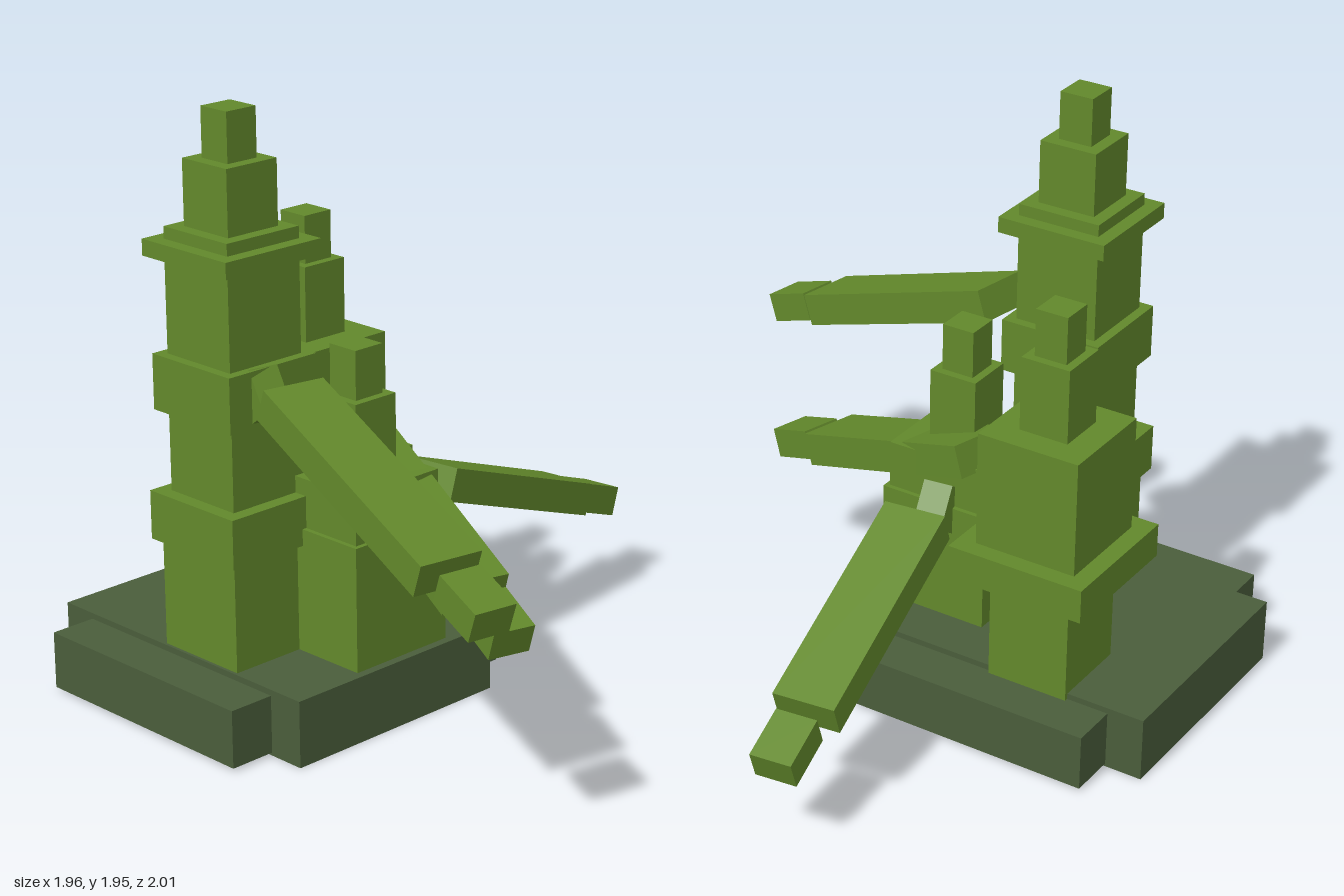
import * as THREE from 'three';

const green = new THREE.MeshStandardMaterial({ color: 0x62882b });
green.name = 'cactus green';
const mossy = new THREE.MeshStandardMaterial({ color: 0x4a5d3b });
mossy.name = 'mossy base green';

const rad = THREE.MathUtils.degToRad;

function box(name, material, w, h, d, x = 0, y = 0, z = 0) {
  const mesh = new THREE.Mesh(new THREE.BoxGeometry(w, h, d), material);
  mesh.name = name;
  mesh.position.set(x, y, z);
  return mesh;
}

// Stacked square tiers: [half width, bottom, top]
function tower(name, x, z, tiers) {
  const group = new THREE.Group();
  group.name = name;
  group.position.set(x, 0, z);
  tiers.forEach(([half, y0, y1], i) =>
    group.add(box(`tier${i + 1}`, green, half * 2, y1 - y0, half * 2, 0, (y0 + y1) / 2, 0)));
  return group;
}

// Sloping limb with a detached tip and a tilted shoulder stub
function arm(name, x, y, z, yaw, length) {
  const group = new THREE.Group();
  group.name = name;
  group.position.set(x, y, z);
  group.rotation.y = rad(yaw);

  const pitch = rad(20);
  const limb = new THREE.Group();
  limb.name = 'limb';
  limb.rotation.x = pitch;
  limb.add(box('limbBar', green, 0.21, 0.11, length));
  limb.add(box('limbTip', green, 0.14, 0.1, 0.18, 0, 0, length / 2 + 0.135));
  group.add(limb);

  const stub = new THREE.Group();
  stub.name = 'shoulder';
  stub.position.set(0, Math.sin(pitch) * length / 2, -Math.cos(pitch) * length / 2 - 0.11);
  stub.rotation.x = rad(-35);
  stub.add(box('shoulderStub', green, 0.1, 0.145, 0.2, 0, 0, -0.1));
  group.add(stub);
  return group;
}

export function createModel() {
  const model = new THREE.Group();
  model.name = 'cactusCluster';

  // Two crossed slabs form the base
  model.add(box('baseSlab', mossy, 0.83, 0.22, 1.115, -0.415, 0.11, -0.443));
  model.add(box('baseWideSlab', mossy, 1.15, 0.19, 0.86, -0.413, 0.105, -0.443));

  // Towers
  model.add(tower('tallTower', -0.653, -0.345, [
    [0.167, 0.2, 0.575], [0.192, 0.575, 0.735], [0.145, 0.735, 1.0], [0.177, 1.0, 1.18],
    [0.144, 1.18, 1.49], [0.191, 1.49, 1.543], [0.144, 1.543, 1.582],
    [0.1, 1.582, 1.793], [0.058, 1.793, 1.952],
  ]));
  model.add(tower('backTower', -0.129, -0.585, [
    [0.142, 0.2, 0.575], [0.239, 0.575, 0.69], [0.177, 0.69, 1.08],
    [0.085, 1.08, 1.33], [0.056, 1.33, 1.488],
  ]));
  model.add(tower('frontTower', -0.367, -0.107, [
    [0.193, 0.2, 0.63], [0.177, 0.63, 0.79], [0.085, 0.79, 1.04], [0.057, 1.04, 1.2],
  ]));

  // One arm per tower
  model.add(arm('tallTowerArm', -0.786, 0.976, 0.373, -10, 0.86));
  model.add(arm('backTowerArm', -0.338, 0.694, 0.111, -15.5, 0.8));
  model.add(arm('frontTowerArm', 0.36, 0.518, -0.196, 97, 0.805));
  return model;
}
